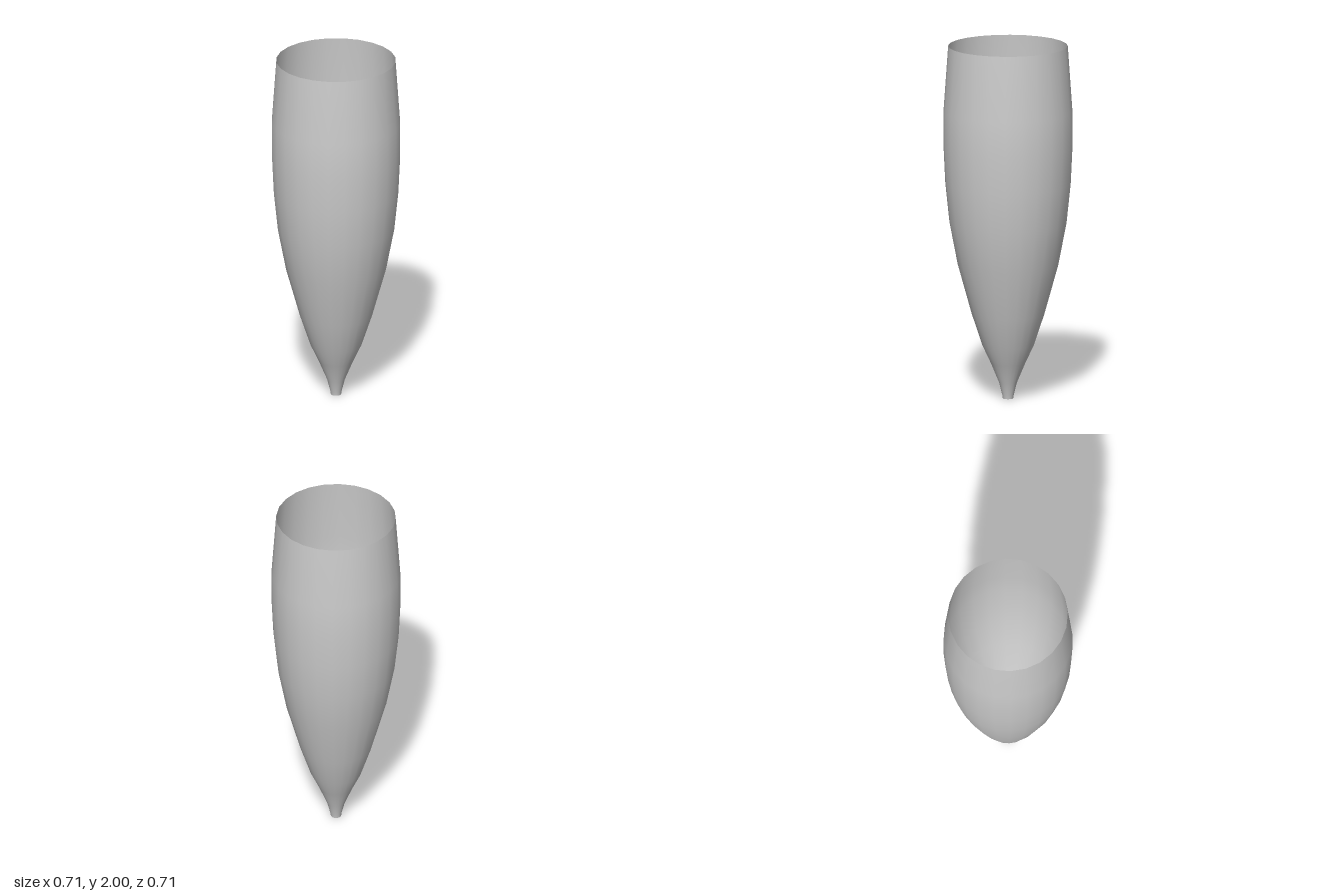
import * as THREE from 'three';

export function createModel() {
  const group = new THREE.Group();
  group.name = 'taperedSleeve';

  // Outline [radius, height] from the narrow tip to the open rim
  const profile = [
    [0.029, 0], [0.032, 0.02], [0.05, 0.09], [0.096, 0.2], [0.143, 0.3],
    [0.203, 0.48], [0.281, 0.76], [0.327, 1.0], [0.35, 1.22],
    [0.36, 1.43], [0.36, 1.63], [0.334, 2],
  ].map(([r, y]) => new THREE.Vector2(r, y));

  // Thin shell, open at both ends, turned half a side so flats face the axes
  const sides = 24;
  const shell = new THREE.Mesh(
    new THREE.LatheGeometry(profile, sides, Math.PI / sides),
    new THREE.MeshStandardMaterial({ color: 0xcccccc, side: THREE.DoubleSide }),
  );
  shell.name = 'shell';
  group.add(shell);

  return group;
}
